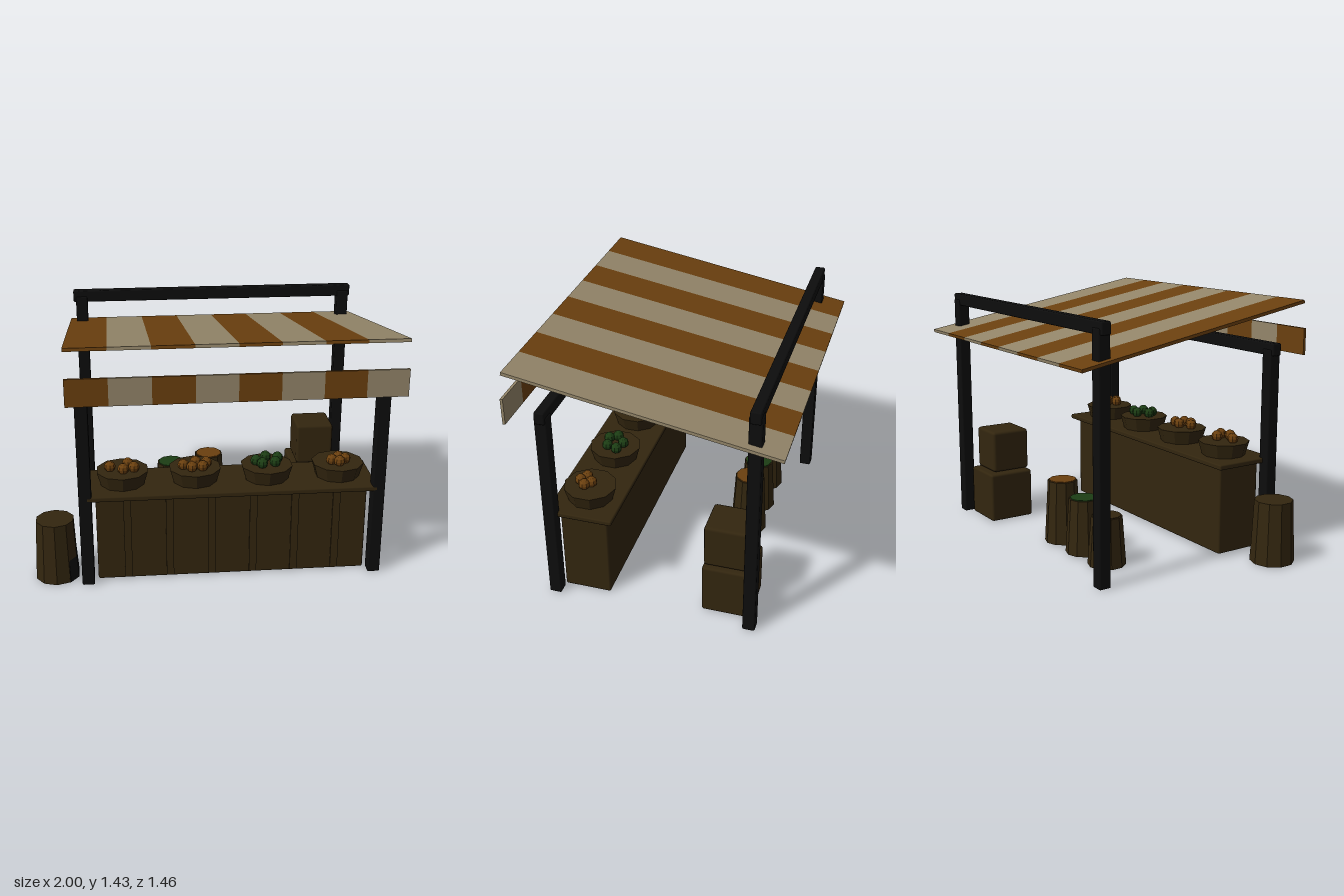
import * as THREE from 'three';
import { RoundedBoxGeometry } from 'three/addons/geometries/RoundedBoxGeometry.js';

const material = (name, color) => {
  const m = new THREE.MeshStandardMaterial({ color });
  m.name = name;
  return m;
};

export function createModel() {
  const model = new THREE.Group();
  model.name = 'marketStall';
  const wood = material('dark wood', 0x33260f);
  const black = material('black timber', 0x0d0d0d);
  const orange = material('orange', 0x6b400f);
  const cream = material('cream', 0x94866a);
  const green = material('green', 0x1c3d14);

  const add = (name, geometry, mat, x, y, z, parent = model) => {
    const mesh = new THREE.Mesh(geometry, mat);
    mesh.name = name;
    mesh.position.set(x, y, z);
    parent.add(mesh);
    return mesh;
  };
  // Faceted copy of a geometry
  const facet = (geometry) => {
    const g = geometry.toNonIndexed();
    g.computeVertexNormals();
    return g;
  };
  const block = (name, mat, size, pos, bevel = 0.008) =>
    add(name, new RoundedBoxGeometry(...size, 1, bevel), mat, ...pos);
  const tub = (name, mat, top, bottom, height, x, y, z) =>
    add(name, facet(new THREE.CylinderGeometry(top, bottom, height, 10)), mat, x, y + height / 2, z);

  // Posts and cross beams: front pair low, back pair high
  for (const [name, z, height] of [['front', 0.55, 1.2], ['back', -0.57, 1.4]]) {
    for (const x of [-0.705, 0.92])
      block(name + 'Post', black, [0.07, height - 0.035, 0.07], [x, (height - 0.035) / 2, z]);
    block(name + 'Beam', black, [1.72, 0.07, 0.058], [0.105, height - 0.035, z]);
  }

  // Striped canopy, sloping down to the back, and hanging valance
  const canopy = new THREE.Group();
  canopy.name = 'canopy';
  canopy.position.set(0, 1.297, -0.005);
  canopy.rotation.x = -0.1747;
  model.add(canopy);
  const stripe = 1.78 / 8;
  for (let i = 0; i < 8; i++) {
    const x = -0.78 + stripe * (i + 0.5);
    const mat = i % 2 ? cream : orange;
    add('canopyStripe', new THREE.BoxGeometry(stripe, 0.018, 1.467), mat, x, 0, 0, canopy);
    add('valanceStripe', new THREE.BoxGeometry(stripe, 0.15, 0.015), mat, x, 1.2, 0.728);
  }

  // Counter with battens on its front
  block('counterBody', wood, [1.52, 0.505, 0.27], [0.11, 0.2525, 0.385], 0.01);
  block('counterTop', wood, [1.615, 0.03, 0.375], [0.108, 0.525, 0.398]);
  for (let i = 0; i < 6; i++)
    add('counterBatten', new THREE.BoxGeometry(0.042, 0.49, 0.012), wood, 0.11 + (i - 2.5) * 0.235, 0.255, 0.523);

  // Bowls of fruit
  const fruitShape = facet(new THREE.SphereGeometry(0.032, 8, 6));
  const fruitSpots = [
    [[-0.068, 0.01], [0.005, 0.05], [0.032, -0.025], [0.065, 0.03]],
    [[-0.066, 0.02], [-0.02, 0.055], [0.005, -0.015], [0.04, 0.05], [0.064, 0.0]],
    [[-0.06, 0.0], [-0.03, 0.045], [0.0, -0.05], [0.045, 0.03], [0.066, -0.03]],
    [[-0.04, 0.03], [0.0, 0.055], [0.005, -0.01], [0.038, 0.02]],
  ];
  fruitSpots.forEach((spots, i) => {
    const x = -0.497 + i * 0.406;
    tub('bowl', wood, 0.148, 0.125, 0.08, x, 0.54, 0.395);
    for (const [dx, dz] of spots)
      add('fruit', fruitShape, i === 2 ? green : orange, x + dx, 0.643, 0.395 + dz);
  });

  // Barrel beside the counter, with a dark worn patch low on its inner side
  tub('sideBarrel', wood, 0.108, 0.124, 0.355, -0.882, 0, 0.445);
  tub('barrelDarkPatch', black, 0.1, 0.122, 0.32, -0.876, 0, 0.445);

  // Row of baskets behind the counter
  [[0.06, 0.37, orange], [-0.18, 0.32, green], [-0.42, 0.28, wood]].forEach(([x, height, fill]) => {
    tub('basket', wood, 0.087, 0.108, height, x, 0, -0.358);
    tub('basketFill', fill, 0.08, 0.08, 0.006, x, height - 0.001, -0.358);
  });

  // Stacked crates
  block('lowerCrate', wood, [0.28, 0.3, 0.28], [0.725, 0.15, -0.42], 0.015);
  block('upperCrate', wood, [0.23, 0.255, 0.24], [0.73, 0.4325, -0.405], 0.018);

  return model;
}
